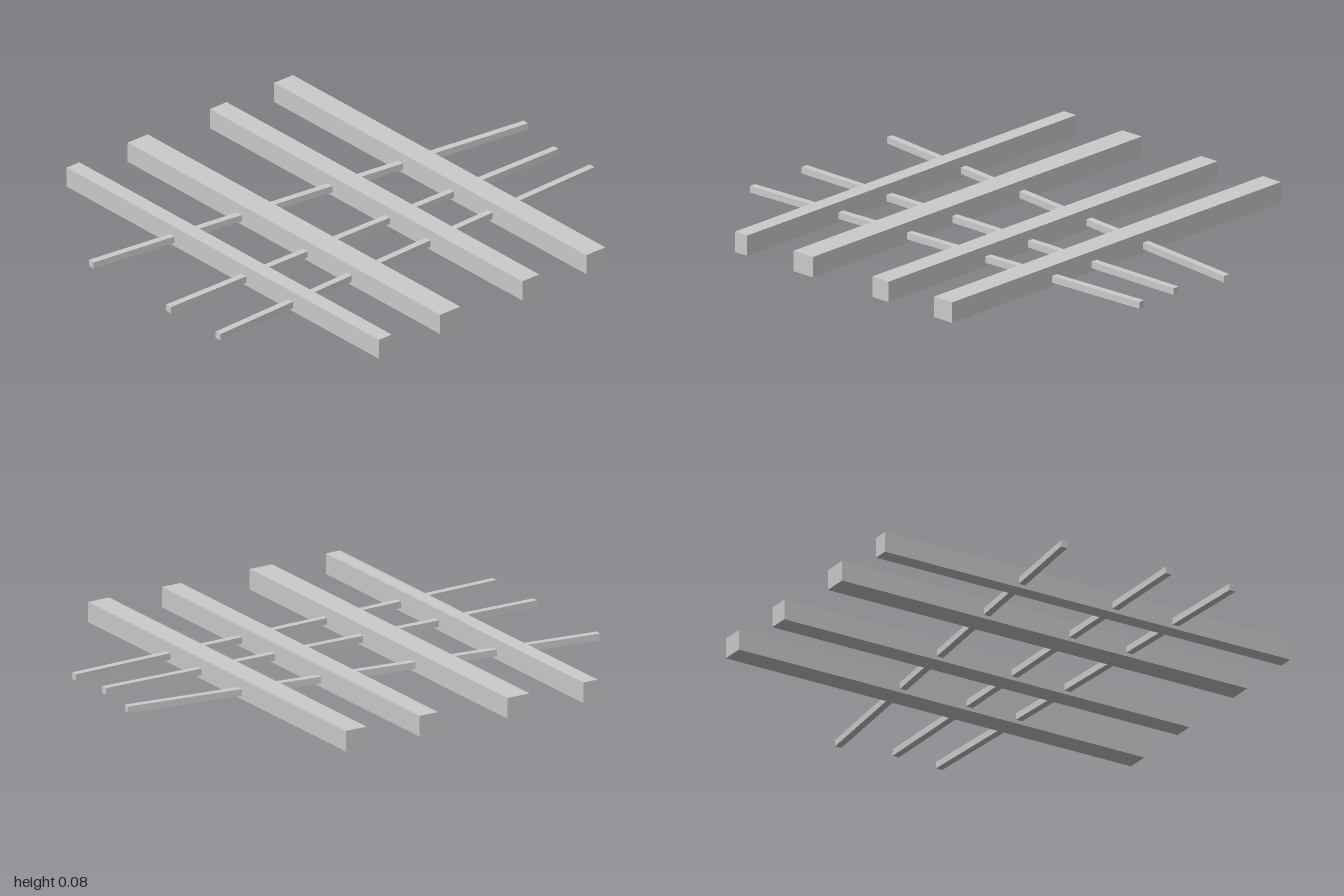
import * as THREE from 'three';

const material = new THREE.MeshStandardMaterial({ color: 0xcccccc, flatShading: true });

export function createModel() {
  const model = new THREE.Group();
  model.name = 'slattedGrid';

  const addBox = (name, w, h, d, x, y, z, turn = 0) => {
    const mesh = new THREE.Mesh(new THREE.BoxGeometry(w, h, d), material);
    mesh.name = name;
    mesh.position.set(x, y, z);
    mesh.rotation.y = turn;
    model.add(mesh);
  };

  // Cross beams, back to front: [near edge z, far edge z]
  const beams = [[-0.426, -0.521], [-0.103, -0.188], [0.31, 0.209], [0.617, 0.553]];
  beams.forEach(([near, far], i) =>
    addBox(`beam${i + 1}`, 1.826, 0.083, near - far, 0, 0.0415, (near + far) / 2));

  // Thin rods running through the beams: [back x, back z, front x, front z]
  const rods = [
    [-0.106, -0.998, -0.339, 0.987],
    [0.125, -0.952, 0.125, 0.998],
    [0.325, -0.96, 0.413, 0.997],
  ];
  rods.forEach(([x0, z0, x1, z1], i) => {
    const dx = x1 - x0, dz = z1 - z0;
    addBox(`rod${i + 1}`, 0.028, 0.027, Math.hypot(dx, dz),
      (x0 + x1) / 2, 0.0285, (z0 + z1) / 2, Math.atan2(dx, dz));
  });

  return model;
}
